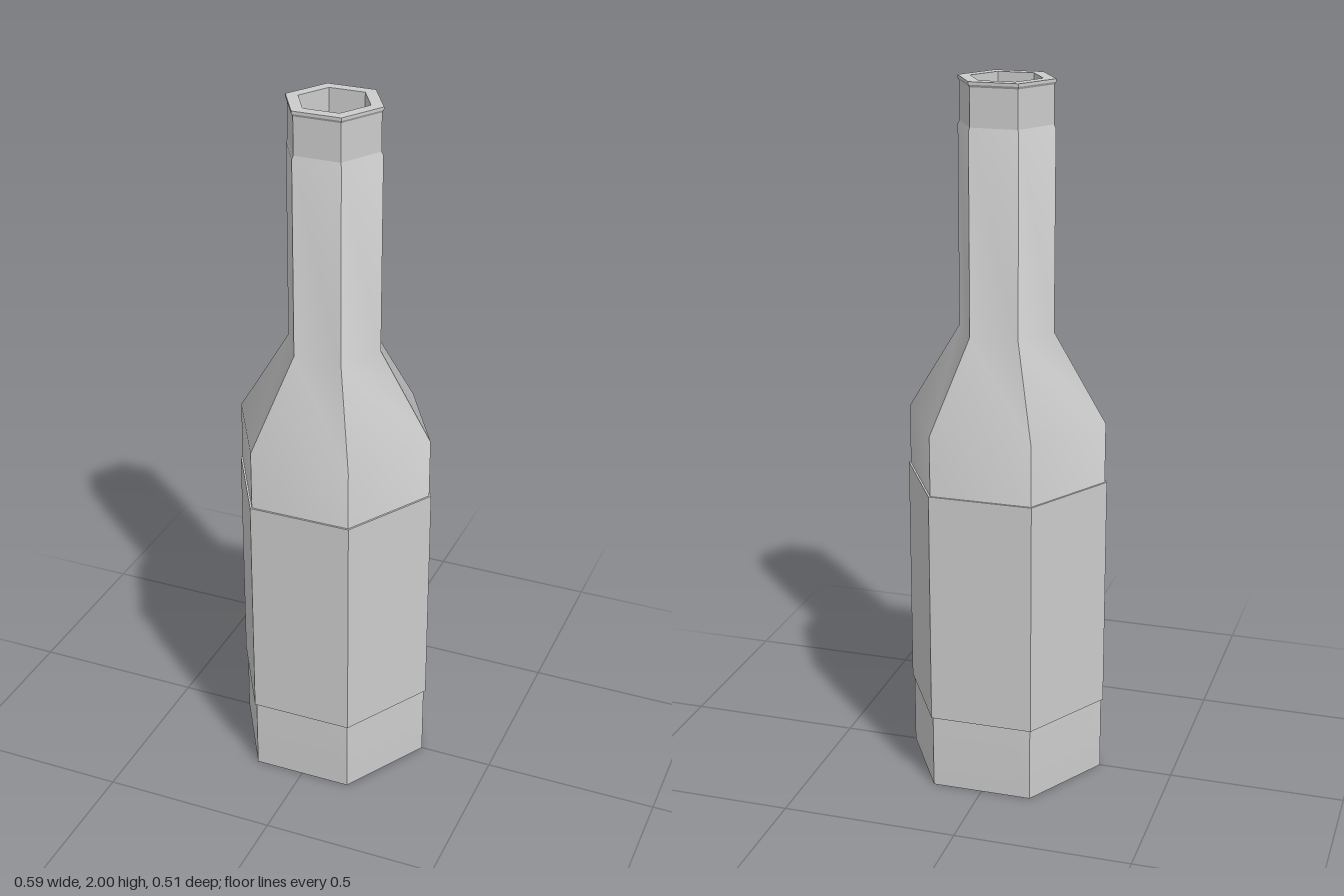
import * as THREE from 'three';
import { toCreasedNormals } from 'three/addons/utils/BufferGeometryUtils.js';

const material = new THREE.MeshStandardMaterial({ color: 0xcccccc });

// Six-sided turned part; profile is [corner radius, height], running up the outside
function hexPart(name, profile) {
  const points = profile.map(([r, y]) => new THREE.Vector2(r, y));
  const lathe = new THREE.LatheGeometry(points, 6, Math.PI / 2);
  // smooth the shoulder bends, keep the hexagon edges sharp
  const mesh = new THREE.Mesh(toCreasedNormals(lathe, 0.55), material);
  mesh.name = name;
  return mesh;
}

export function createModel() {
  const bottle = new THREE.Group();
  bottle.name = 'bottle';

  // Base, straight body, sloping shoulder and neck
  bottle.add(hexPart('body', [
    [0, 0], [0.287, 0], [0.287, 1.06], [0.137, 1.31], [0.137, 1.87], [0.132, 1.88],
  ]));

  // Raised band wrapped around the body
  bottle.add(hexPart('labelBand', [
    [0.286, 0.215], [0.293, 0.215], [0.293, 0.888], [0.286, 0.888],
  ]));

  // Lip with a narrow rim and the mouth opening
  bottle.add(hexPart('lip', [
    [0.132, 1.88], [0.132, 1.985], [0.137, 1.992], [0.137, 2], [0.101, 2], [0.101, 1.88], [0, 1.88],
  ]));

  return bottle;
}
